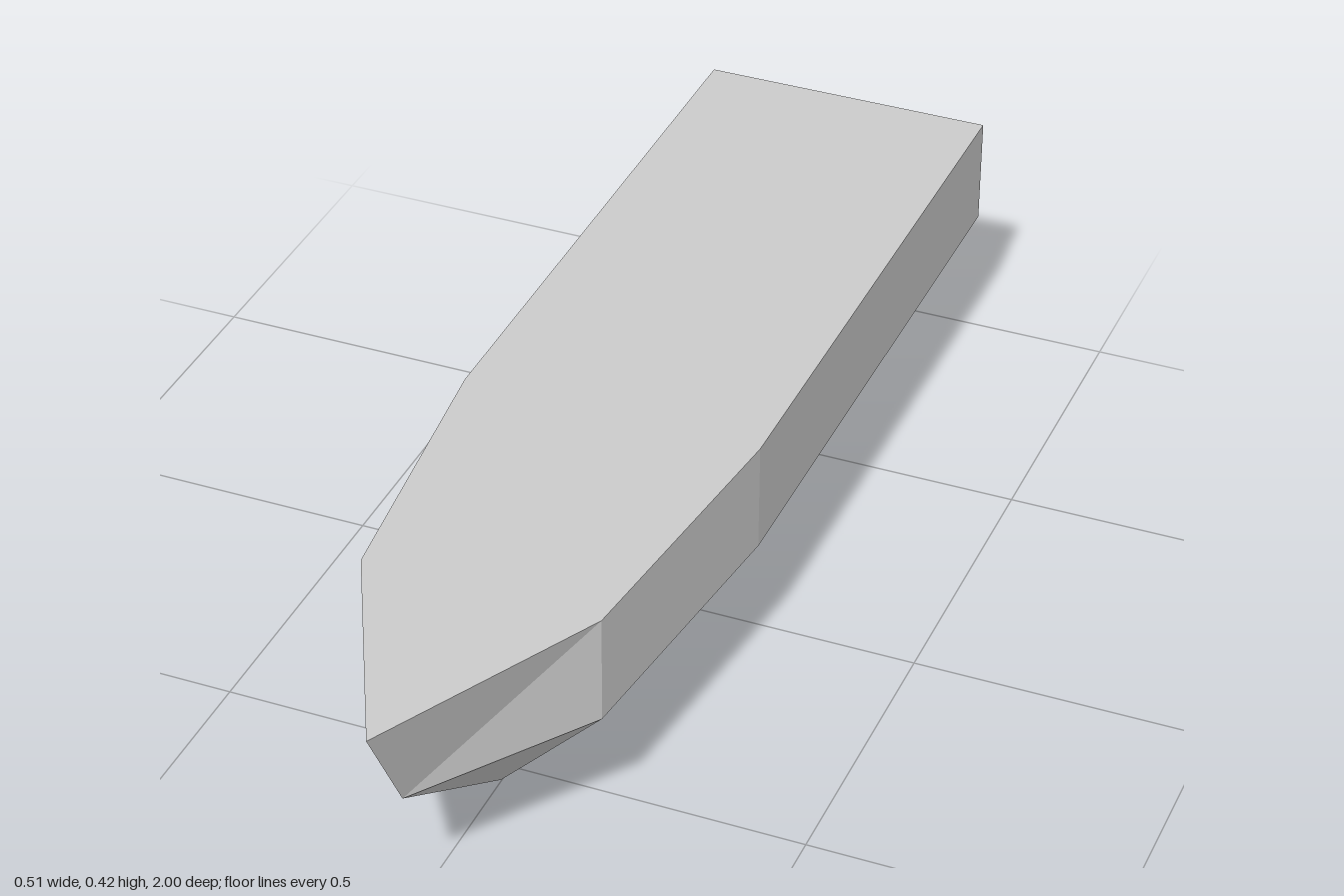
import * as THREE from 'three';

// Hull lines of the left half, each running stern to bow as [x, y, z].
const deckCentre = [[0, 0.42, -1], [0, 0.42, 0.09], [0, 0.418, 0.6], [0, 0.42, 1]];
const deckEdge = [[0.257, 0.42, -1], [0.257, 0.42, 0.09], [0.2, 0.418, 0.6], [0, 0.42, 1]];
const chine = [[0.257, 0.23, -1], [0.257, 0.23, 0.09], [0.2, 0.23, 0.6], [0, 0.23, 0.89]];
const keel = [[0, 0, -1], [0, 0.003, 0.54], [0, 0.003, 0.54], [0, 0.003, 0.54]];
const lines = [deckCentre, deckEdge, chine, keel];

function hullGeometry() {
  const positions = [];

  // Adds a facet and its mirror image, leaving out collapsed ones.
  const facet = (...points) => {
    const [a, b, c] = points.map((p) => new THREE.Vector3(...p));
    if (new THREE.Triangle(a, b, c).getArea() < 1e-6) return;
    positions.push(...points.flat());
    for (const [x, y, z] of [points[0], points[2], points[1]]) positions.push(-x, y, z);
  };

  // Deck, sides and bottom: skin between neighbouring lines.
  for (let j = 0; j < lines.length - 1; j++) {
    const [upper, lower] = [lines[j], lines[j + 1]];
    for (let i = 0; i < upper.length - 1; i++) {
      facet(upper[i], upper[i + 1], lower[i + 1]);
      facet(upper[i], lower[i + 1], lower[i]);
    }
  }

  // Flat transom closing the stern.
  const [top, corner, bilge, foot] = lines.map((line) => line[0]);
  facet(top, corner, bilge);
  facet(top, bilge, foot);

  const geometry = new THREE.BufferGeometry();
  geometry.setAttribute('position', new THREE.Float32BufferAttribute(positions, 3));
  geometry.computeVertexNormals();
  return geometry;
}

export function createModel() {
  const group = new THREE.Group();
  group.name = 'boat';
  const material = new THREE.MeshStandardMaterial({ color: 0xcccccc, flatShading: true });
  const hull = new THREE.Mesh(hullGeometry(), material);
  hull.name = 'hull';
  group.add(hull);
  return group;
}
